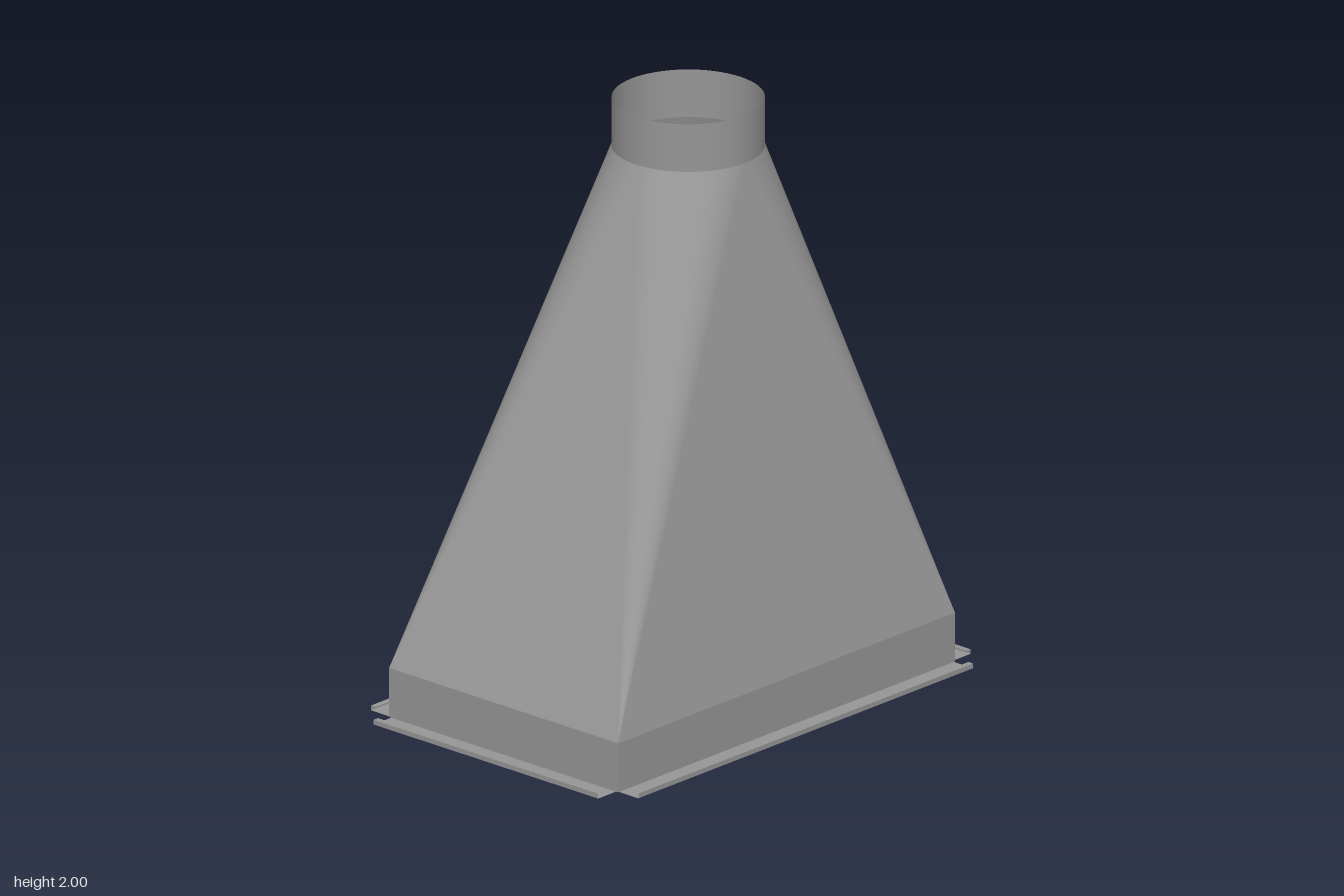
import * as THREE from 'three';

const HX = 0.829, HZ = 0.519;            // half size of the rectangular collar
const Y0 = 0.175, Y1 = 1.83, TOP = 2;    // collar top, spout bottom, spout top
const CX = 0.258, CZ = -0.164, R = 0.256; // offset round outlet
const SEG = 16;                          // segments per quarter circle

// Collar corners, in the same order as the quarters of the outlet
const corners = [[1, 1], [-1, 1], [-1, -1], [1, -1]];
const corner = (k, y) => {
  const [sx, sz] = corners[(k + 4) % 4];
  return new THREE.Vector3(sx * HX, y, sz * HZ);
};
const rim = (a) => new THREE.Vector3(CX + R * Math.cos(a), Y1, CZ + R * Math.sin(a));

// Outward normal of the sheet along the line from a corner to the rim
function sheetNormal(k, a) {
  const tangent = new THREE.Vector3(-Math.sin(a), 0, Math.cos(a));
  return rim(a).sub(corner(k, Y0)).cross(tangent).normalize();
}

function sheet(points, normals) {
  const g = new THREE.BufferGeometry().setFromPoints(points);
  if (normals) {
    g.setAttribute('normal', new THREE.Float32BufferAttribute(normals.flatMap((n) => n.toArray()), 3));
  } else {
    g.computeVertexNormals();
  }
  return g;
}

// Square-to-round hood: four flat triangles joined by four quarter cones
function hoodGeometry() {
  const p = [], n = [];
  const q = Math.PI / 2;
  for (let k = 0; k < 4; k++) {
    const flat = sheetNormal(k, k * q);
    p.push(rim(k * q), corner(k, Y0), corner(k - 1, Y0));
    n.push(flat, flat, flat);
    for (let i = 0; i < SEG; i++) {
      const a = (k + i / SEG) * q, b = (k + (i + 1) / SEG) * q;
      p.push(corner(k, Y0), rim(a), rim(b));
      n.push(sheetNormal(k, (a + b) / 2), sheetNormal(k, a), sheetNormal(k, b));
    }
  }
  return sheet(p, n);
}

// Four upright walls of the rectangular collar
function collarGeometry() {
  const p = [];
  for (let k = 0; k < 4; k++) {
    const a = corner(k, 0), b = corner(k - 1, 0), c = corner(k - 1, Y0), d = corner(k, Y0);
    p.push(a, b, c, a, c, d);
  }
  return sheet(p);
}

export function createModel() {
  const model = new THREE.Group();
  model.name = 'ductTransition';
  const metal = new THREE.MeshStandardMaterial({ color: 0x969696, side: THREE.DoubleSide });
  metal.name = 'sheet metal grey';

  const add = (parent, name, geometry) => {
    const mesh = new THREE.Mesh(geometry, metal);
    mesh.name = name;
    parent.add(mesh);
    return mesh;
  };

  add(model, 'hood', hoodGeometry());
  add(model, 'collar', collarGeometry());

  // Open round outlet
  add(model, 'spout', new THREE.CylinderGeometry(R, R, TOP - Y1, SEG * 4, 1, true))
    .position.set(CX, (Y1 + TOP) / 2, CZ);

  // Folded flange on each side: plate, upturned lip and inward return
  const W = 0.087, LIP = 0.017, BACK = 0.021;
  const flange = (name, length, distance, angle) => {
    const g = new THREE.Group();
    g.name = name;
    add(g, 'flangePlate', new THREE.PlaneGeometry(length, W).rotateX(-Math.PI / 2))
      .position.set(0, 0, distance + W / 2);
    add(g, 'flangeLip', new THREE.PlaneGeometry(length, LIP))
      .position.set(0, LIP / 2, distance + W);
    add(g, 'flangeReturn', new THREE.PlaneGeometry(length, BACK).rotateX(-Math.PI / 2))
      .position.set(0, LIP, distance + W - BACK / 2);
    g.rotation.y = angle;
    model.add(g);
  };
  flange('frontFlange', 1.648, HZ, 0);
  flange('leftFlange', 1.018, HX, Math.PI / 2);
  flange('backFlange', 1.648, HZ, Math.PI);
  flange('rightFlange', 1.018, HX, -Math.PI / 2);

  return model;
}
